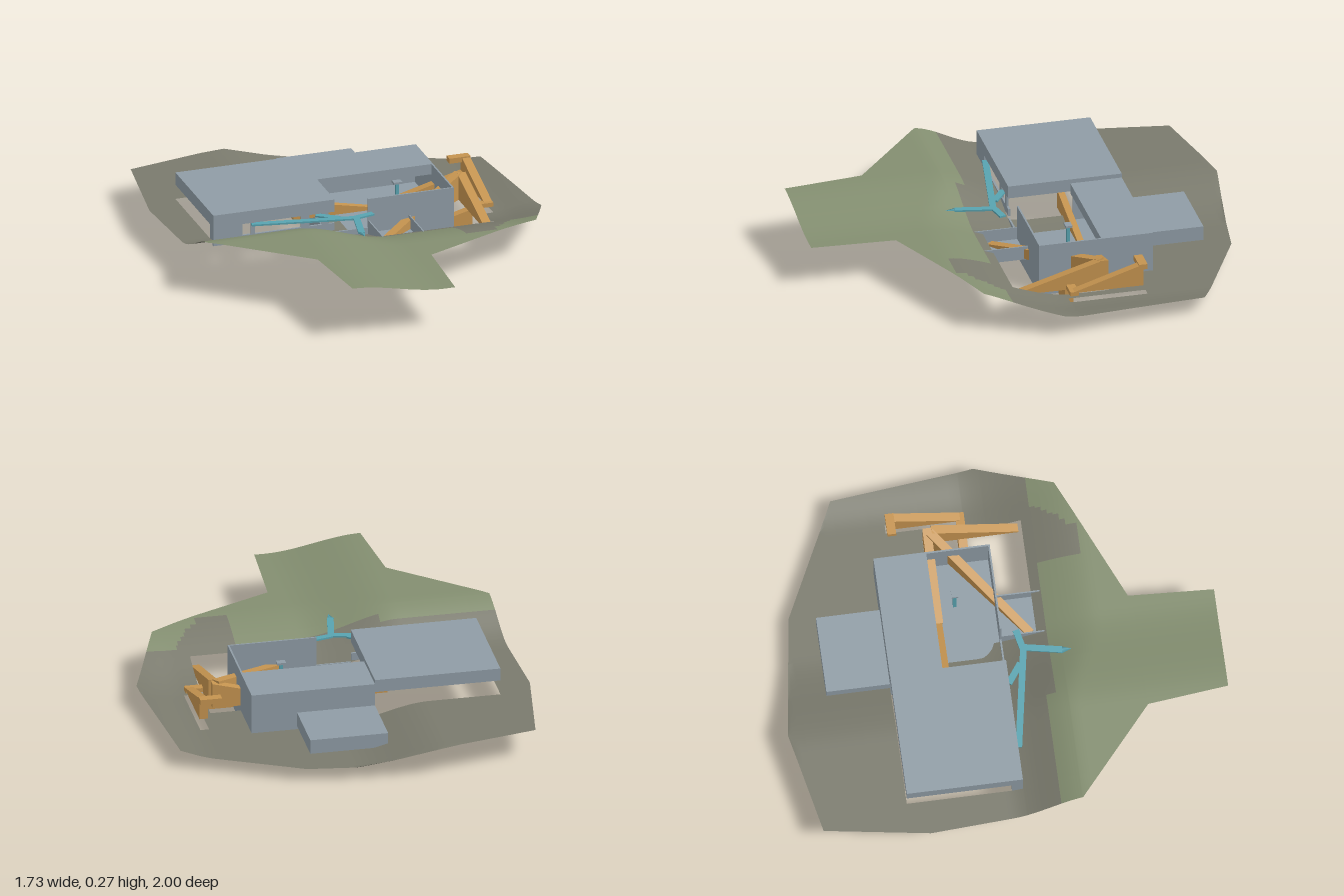
import * as THREE from 'three';

const mat = (name, color, side = THREE.FrontSide) => {
  const m = new THREE.MeshStandardMaterial({ color, side });
  m.name = name;
  return m;
};

// Site outline as [x, z], clockwise from the back
const OUTLINE = [[-0.31, -1], [0.27, -0.92], [0.8, -0.66], [0.865, 0], [0.72, 0.35], [0.13, 0.61],
  [0.11, 1], [-0.38, 1], [-0.42, 0.63], [-0.825, 0.28], [-0.865, -0.42], [-0.79, -0.9]];

// Openings in the ground: [x0, x1, z0, z1]
const HOLES = [[-0.71, -0.13, -0.51, 0.02], [-0.13, 0.44, -0.51, -0.27],
  [0.03, 0.58, -0.27, 0.18], [0.62, 0.66, -0.43, -0.07]];

const smooth = THREE.MathUtils.smoothstep;
const lerp = THREE.MathUtils.lerp;

// Ground height: a high front terrace falling to a lower back yard
function groundY(x, z) {
  const s = smooth(x, -0.38, 0.06);
  const t = smooth(z, lerp(-0.04, -0.1, s), lerp(0.31, 0.46, s));
  const edge = 0.028 * smooth(x, 0.66, 0.87) * (1 - t);
  return lerp(0.14 - 0.08 * s, 0.26 - 0.06 * s, t) + edge;
}

// Where the lawn begins, along x
function lawnZ(x) {
  if (x < -0.3) return 0.18;
  if (x < 0.35) return 0.22;
  if (x < 0.5) return 0.42;
  return lerp(0.4, 0.23, Math.min(1, (x - 0.5) / 0.15));
}

// Left and right limit of the outline at depth z
function span(z) {
  const xs = [];
  OUTLINE.forEach(([x0, z0], i) => {
    const [x1, z1] = OUTLINE[(i + 1) % OUTLINE.length];
    if (z0 !== z1 && z >= Math.min(z0, z1) && z <= Math.max(z0, z1)) {
      xs.push(lerp(x0, x1, (z - z0) / (z1 - z0)));
    }
  });
  return [Math.min(...xs), Math.max(...xs)];
}

function gridLines(min, max, step, extra) {
  const v = [...extra];
  for (let a = min; a <= max + 1e-6; a += step) v.push(a);
  v.sort((a, b) => a - b);
  return v.filter((a, i) => i === 0 || a - v[i - 1] > 1e-4);
}

function groundGeometry() {
  const xs = gridLines(-0.87, 0.87, 0.03, HOLES.flatMap(h => [h[0], h[1]]));
  const zs = gridLines(-1, 1, 0.025, [...HOLES.flatMap(h => [h[2], h[3]]), ...OUTLINE.map(p => p[1])]);
  const pos = [], earth = [], lawn = [], n = xs.length;
  for (const z of zs) {
    const [l, r] = span(THREE.MathUtils.clamp(z, -1, 1));
    for (const gx of xs) {
      const x = THREE.MathUtils.clamp(gx, l, r);
      pos.push(x, groundY(x, z), z);
    }
  }
  for (let j = 0; j < zs.length - 1; j++) {
    for (let i = 0; i < n - 1; i++) {
      const cx = (xs[i] + xs[i + 1]) / 2, cz = (zs[j] + zs[j + 1]) / 2;
      if (HOLES.some(h => cx > h[0] && cx < h[1] && cz > h[2] && cz < h[3])) continue;
      const a = j * n + i, b = a + 1, c = a + n, d = c + 1;
      if (pos[a * 3] === pos[b * 3] && pos[c * 3] === pos[d * 3]) continue;
      (cz > lawnZ(cx) ? lawn : earth).push(a, c, b, b, c, d);
    }
  }
  const g = new THREE.BufferGeometry();
  g.setAttribute('position', new THREE.Float32BufferAttribute(pos, 3));
  g.setIndex([...earth, ...lawn]);
  g.addGroup(0, earth.length, 0);
  g.addGroup(earth.length, lawn.length, 1);
  g.computeVertexNormals();
  return g;
}

export function createModel() {
  const model = new THREE.Group();
  const earth = mat('earth', 0x7a7a6d, THREE.DoubleSide);
  const lawn = mat('lawn', 0x838e70, THREE.DoubleSide);
  const concrete = mat('concrete', 0x8f9ca5);
  const timber = mat('timber', 0xc4934f);
  const water = mat('water', 0x58a3b0);

  const add = (name, geo, material) => {
    const m = new THREE.Mesh(geo, material);
    m.name = name;
    model.add(m);
    return m;
  };
  // Box given by its limits
  const box = (name, x0, x1, y0, y1, z0, z1, material = concrete) => {
    const m = add(name, new THREE.BoxGeometry(x1 - x0, y1 - y0, z1 - z0), material);
    m.position.set((x0 + x1) / 2, (y0 + y1) / 2, (z0 + z1) / 2);
    return m;
  };
  // Ramp with a sloping top from [x, z, top] to [x, z, top]
  const ramp = (name, [ax, az, ay], [bx, bz, by], base, width = 0.04) => {
    const len = Math.hypot(bx - ax, bz - az);
    const s = new THREE.Shape([[0, base], [len, base], [len, by], [0, ay]].map(p => new THREE.Vector2(...p)));
    const g = new THREE.ExtrudeGeometry(s, { depth: width, bevelEnabled: false }).translate(0, 0, -width / 2);
    const m = add(name, g, timber);
    m.position.set(ax, 0, az);
    m.rotation.y = -Math.atan2(bz - az, bx - ax);
  };

  add('ground', groundGeometry(), [earth, lawn]);

  // Left wing: floating roof with a front wall broken by openings
  box('leftRoof', -0.71, -0.13, 0.21, 0.27, -0.51, 0.02);
  [[-0.71, -0.57], [-0.53, -0.51], [-0.29, -0.25], [-0.19, -0.16]].forEach(([a, b]) =>
    box('leftFrontWall', a, b, 0.14, 0.21, 0.01, 0.02));
  box('leftWallSill', -0.71, -0.13, 0.12, 0.155, 0.01, 0.02);
  box('leftSideWall', -0.71, -0.7, 0.14, 0.21, -0.03, 0.02);

  // Right wing: base, walls around an open court, and a roof over the rear half
  box('base', -0.13, 0.44, 0, 0.07, -0.51, 0.02);
  box('rearRoof', -0.13, 0.44, 0.2, 0.25, -0.51, -0.27);
  box('rearWall', -0.13, 0.44, 0.07, 0.2, -0.51, -0.5);
  box('courtSideWall', 0.432, 0.44, 0.07, 0.25, -0.51, 0.02);
  box('rearSideWall', -0.13, -0.12, 0.07, 0.2, -0.5, -0.28);
  box('courtFrontWall', 0.03, 0.432, 0.07, 0.25, 0.012, 0.02);
  box('lowFrontWall', -0.13, 0.03, 0.07, 0.11, 0.012, 0.02);
  box('rearBlock', -0.13, 0.23, 0.075, 0.143, -0.8, -0.51);

  // Sunken forecourt tray
  box('forecourtFloor', 0.03, 0.23, 0.08, 0.086, 0.02, 0.31);
  box('forecourtFront', 0.03, 0.23, 0.086, 0.145, 0.304, 0.31);
  box('forecourtLeftSide', 0.224, 0.23, 0.086, 0.145, 0.02, 0.304);
  box('forecourtRightSide', 0.03, 0.036, 0.086, 0.145, 0.02, 0.304);

  // Timber ramps
  ramp('diagonalRamp', [0.05, 0.155, 0.092], [0.55, -0.24, 0.208], 0.085);
  ramp('outerRamp', [0.56, 0.165, 0.092], [0.56, -0.23, 0.208], 0.085);
  ramp('farRamp', [0.64, -0.09, 0.11], [0.64, -0.41, 0.21], 0.105);
  ramp('courtRampLeft', [0.15, -0.25, 0.09], [-0.24, -0.25, 0.17], 0.08, 0.03);
  ramp('courtRampRight', [0.15, -0.25, 0.09], [0.57, -0.25, 0.205], 0.085);
  ramp('lowerRamp', [0.31, -0.09, 0.025], [0.56, -0.09, 0.092], 0);
  box('lowerLanding', 0.56, 0.66, 0.09, 0.11, -0.11, -0.07, timber);
  box('upperLanding', 0.56, 0.66, 0.185, 0.21, -0.43, -0.39, timber);

  // Water channel with its branches
  const channel = (ax, az, bx, bz, w = 0.03) => {
    const len = Math.hypot(bx - ax, bz - az);
    const m = add('waterChannel', new THREE.BoxGeometry(len, 0.008, w), water);
    m.position.set((ax + bx) / 2, 0.205, (az + bz) / 2);
    m.rotation.y = -Math.atan2(bz - az, bx - ax);
  };
  channel(-0.53, 0.025, -0.05, 0.11);
  channel(-0.06, 0.105, 0.03, 0.085);
  channel(-0.055, 0.1, -0.09, 0.28);
  channel(-0.22, 0.02, -0.13, 0.085);
  const tip = add('waterTip', new THREE.ConeGeometry(0.018, 0.05, 4).scale(1, 1, 0.25), water);
  tip.position.set(-0.09, 0.205, 0.3);
  tip.rotation.x = Math.PI / 2;

  // Small fountain standing in the court
  box('fountainStem', 0.225, 0.24, 0.07, 0.225, -0.175, -0.16, water);
  box('fountainCap', 0.212, 0.253, 0.225, 0.235, -0.183, -0.152);

  return model;
}
